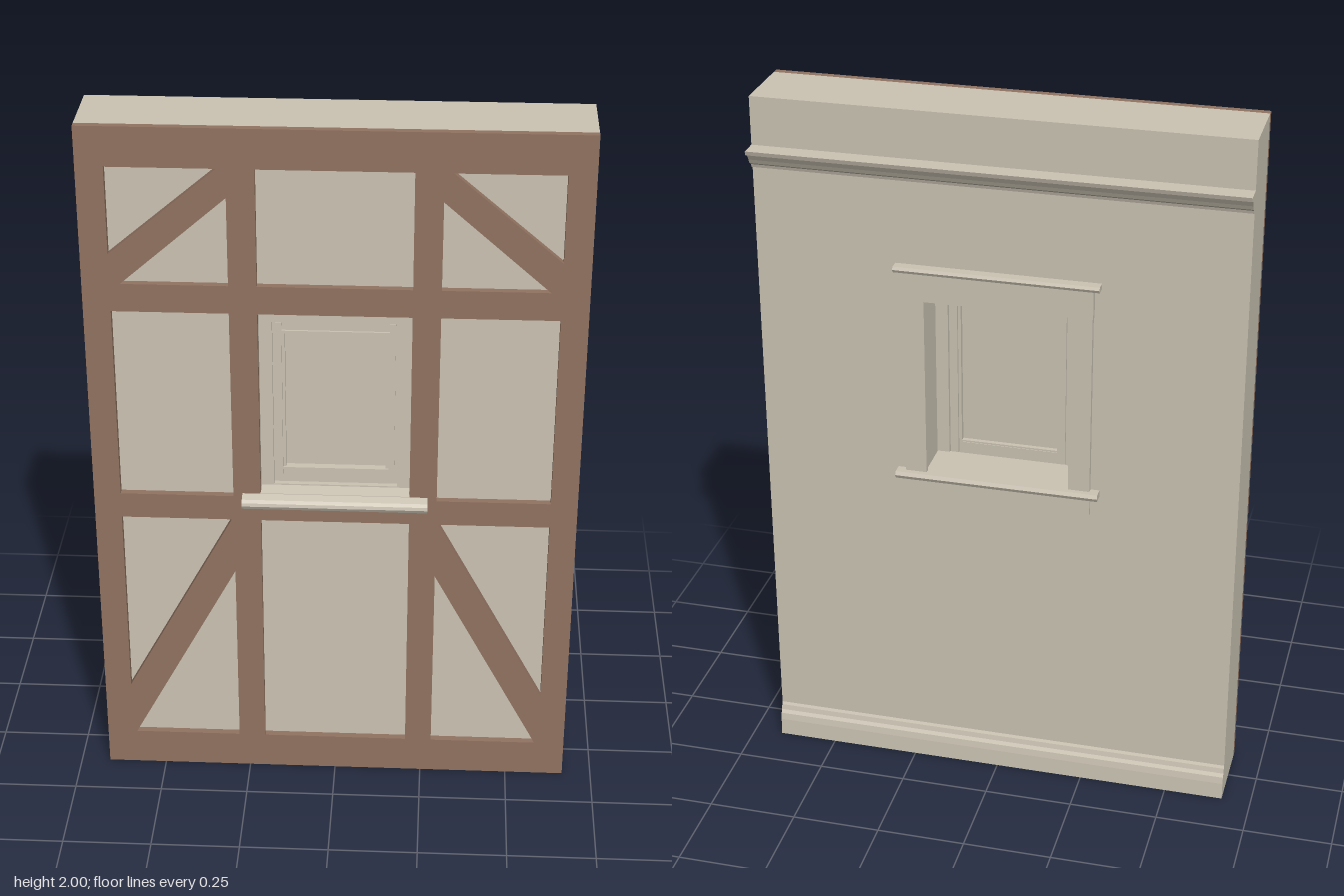
import * as THREE from 'three';

const plaster = new THREE.MeshStandardMaterial({ color: 0xccc4b4 });
plaster.name = 'plaster';
const timber = new THREE.MeshStandardMaterial({ color: 0x917361 });
timber.name = 'timber';

const HALF = 0.667; // half the wall width
const BACK = -0.1, FACE = 0.098, FRONT = 0.118; // wall back, plaster face, timber face

const polygon = (pts, Type = THREE.Shape) => new Type(pts.map(([x, y]) => new THREE.Vector2(x, y)));
const rect = (x0, y0, x1, y1) => [[x0, y0], [x1, y0], [x1, y1], [x0, y1]];

export function createModel() {
  const model = new THREE.Group();
  model.name = 'timberFramedWall';

  function add(name, geometry, material = plaster) {
    const mesh = new THREE.Mesh(geometry, material);
    mesh.name = name;
    model.add(mesh);
  }
  // Flat panel with holes, from z0 to z1
  function panel(name, outline, holes, z0, z1, material) {
    const shape = polygon(outline);
    shape.holes = holes.map((h) => polygon(h, THREE.Path));
    const g = new THREE.ExtrudeGeometry(shape, { depth: z1 - z0, bevelEnabled: false });
    add(name, g.translate(0, 0, z0), material);
  }
  // Moulding: a [z, y] profile run along x
  function moulding(name, profile, halfLength) {
    const shape = polygon(profile.map(([z, y]) => [-z, y]));
    const g = new THREE.ExtrudeGeometry(shape, { depth: 2 * halfLength, bevelEnabled: false });
    add(name, g.rotateY(Math.PI / 2).translate(-halfLength, 0, 0));
  }
  function box(name, x0, x1, y0, y1, z0, z1) {
    const g = new THREE.BoxGeometry(x1 - x0, y1 - y0, z1 - z0);
    add(name, g.translate((x0 + x1) / 2, (y0 + y1) / 2, (z0 + z1) / 2));
  }

  // Plaster wall with the window opening
  const outline = rect(-HALF, 0, HALF, 2);
  const opening = rect(-0.205, 0.92, 0.205, 1.48);
  panel('wall', outline, [opening], BACK, FACE);

  // Timber frame: one sheet with the infill bays cut out
  const sideBays = [
    [[0.593, 1.89], [0.304, 1.89], [0.593, 1.645]],
    [[0.28, 1.81], [0.28, 1.56], [0.565, 1.56]],
    rect(0.28, 0.92, 0.593, 1.48),
    [[0.593, 0.845], [0.286, 0.845], [0.593, 0.275]],
    [[0.28, 0.675], [0.28, 0.108], [0.582, 0.108]],
  ];
  const bays = [opening, rect(-0.205, 0.108, 0.205, 0.845), rect(-0.205, 1.56, 0.205, 1.89)];
  for (const s of [-1, 1]) {
    for (const bay of sideBays) bays.push(bay.map(([x, y]) => [s * x, y]));
  }
  panel('timberFrame', outline, bays, FACE, FRONT, timber);

  // Window: jamb frame, stop, sash and pane
  panel('windowJamb', opening, [rect(-0.17, 0.942, 0.17, 1.44)], 0.015, 0.08);
  panel('windowHeadStop', rect(-0.205, 1.465, 0.205, 1.48), [], 0.08, 0.092);
  panel('windowSash', rect(-0.17, 0.942, 0.17, 1.44), [rect(-0.137, 0.985, 0.137, 1.405)], 0.028, 0.065);
  for (const s of [-1, 1]) {
    box('sashBead', s * 0.153 - 0.008, s * 0.153 + 0.008, 0.955, 1.435, 0.02, 0.073);
  }
  box('sashTopBead', -0.15, 0.15, 1.402, 1.41, 0.03, 0.071);
  box('sashBottomBead', -0.15, 0.15, 0.982, 0.99, 0.03, 0.071);
  box('windowPane', -0.14, 0.14, 0.98, 1.41, 0.043, 0.049);

  // Sloped outer sill with a rounded nose
  moulding('outerSillSlope', [[0.05, 0.915], [0.118, 0.915], [0.118, 0.932], [0.05, 0.943]], 0.204);
  moulding('outerSill', [
    [0.112, 0.893], [0.136, 0.893], [0.147, 0.898], [0.152, 0.908],
    [0.15, 0.917], [0.142, 0.924], [0.112, 0.932],
  ], 0.255);

  // Inner casing round the opening
  for (const s of [-1, 1]) {
    box('sideCasing', s * 0.23 - 0.03, s * 0.23 + 0.03, 0.95, 1.475, -0.115, BACK);
  }
  box('headCasing', -0.262, 0.262, 1.472, 1.556, -0.118, BACK);
  moulding('headCap', [
    [-0.098, 1.554], [-0.098, 1.57], [-0.127, 1.57], [-0.131, 1.562], [-0.127, 1.554],
  ], 0.28);
  moulding('innerStool', [
    [0.02, 0.935], [0.02, 0.955], [-0.129, 0.955], [-0.135, 0.945], [-0.129, 0.935],
  ], 0.204);
  moulding('stoolNose', [
    [-0.098, 0.935], [-0.098, 0.955], [-0.13, 0.955], [-0.135, 0.945], [-0.13, 0.935],
  ], 0.285);
  box('apron', -0.26, 0.26, 0.88, 0.936, -0.111, BACK);

  // Crown moulding and skirting along the back
  moulding('crownMoulding', [
    [-0.098, 1.866], [-0.152, 1.866], [-0.148, 1.854], [-0.137, 1.85], [-0.128, 1.835],
    [-0.122, 1.823], [-0.111, 1.816], [-0.108, 1.807], [-0.098, 1.803],
  ], HALF);
  moulding('skirting', [
    [-0.098, 0], [-0.118, 0], [-0.116, 0.05], [-0.113, 0.07], [-0.107, 0.08],
    [-0.104, 0.095], [-0.098, 0.107],
  ], HALF);

  return model;
}
